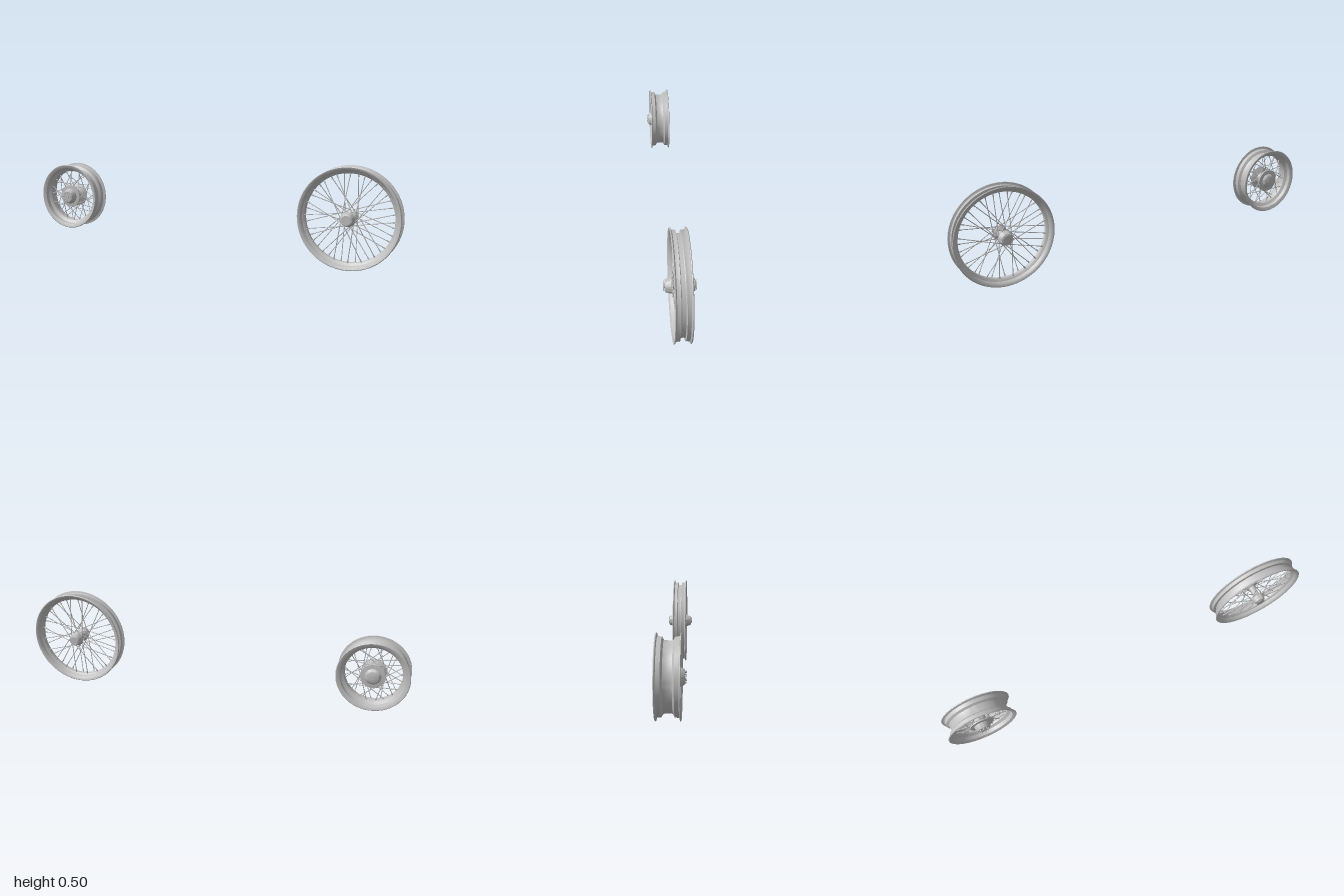
import * as THREE from 'three';
import { toCreasedNormals } from 'three/addons/utils/BufferGeometryUtils.js';

const steel = new THREE.MeshStandardMaterial({ color: 0xbfbfbf });
steel.name = 'steel';

// Revolve a profile of [radius, z] points around the z axis
function turned(name, profile, segments) {
  const points = profile.map(([r, z]) => new THREE.Vector2(r, z));
  const geometry = new THREE.LatheGeometry(points, segments).rotateX(Math.PI / 2);
  const mesh = new THREE.Mesh(toCreasedNormals(geometry, 0.6), steel);
  mesh.name = name;
  return mesh;
}

const flip = (half) => half.map(([r, z]) => [r, -z]);

// Closed rim section; both half profiles run from the middle out to the lip
function rimProfile(outer, inner) {
  return [
    ...flip(outer).reverse(), ...outer,
    ...inner.slice().reverse(), ...flip(inner), flip(outer)[outer.length - 1],
  ];
}

// Straight round rod between two points
function rod(name, a, b, radius) {
  const along = b.clone().sub(a);
  const mesh = new THREE.Mesh(new THREE.CylinderGeometry(radius, radius, along.length(), 6), steel);
  mesh.position.copy(a).addScaledVector(along, 0.5);
  mesh.quaternion.setFromUnitVectors(new THREE.Vector3(0, 1, 0), along.normalize());
  mesh.name = name;
  return mesh;
}

const polar = (r, angle, z) => new THREE.Vector3(r * Math.cos(angle), r * Math.sin(angle), z);

// Crossed spokes on both hub flanges, each with a nipple at the rim
function spokes({ count, hubR, hubZ, rimR, rimZ, sweep, thickness }) {
  const group = new THREE.Group();
  group.name = 'spokes';
  for (let i = 0; i < count; i++) {
    const side = i % 2 ? -1 : 1;
    const lean = i % 4 < 2 ? -1 : 1;
    const angle = (i / count) * Math.PI * 2;
    const foot = polar(hubR, angle + lean * sweep, side * hubZ);
    const tip = polar(rimR, angle, side * rimZ);
    group.add(rod('spoke', foot, tip, thickness));
    group.add(rod('nipple', tip.clone().lerp(foot, 0.08), tip, thickness * 1.6));
  }
  return group;
}

function endDisc(radius, z) {
  const mesh = new THREE.Mesh(new THREE.CylinderGeometry(radius, radius, 0.002, 32), steel);
  mesh.rotation.x = Math.PI / 2;
  mesh.position.z = z;
  mesh.name = 'hubEndDisc';
  return mesh;
}

function largeWheel() {
  const wheel = new THREE.Group();
  wheel.name = 'largeWheel';
  const outer = [[0.221, 0.007], [0.223, 0.0105], [0.237, 0.0125], [0.236, 0.016],
    [0.237, 0.029], [0.241, 0.0315], [0.247, 0.033], [0.248, 0.036], [0.245, 0.0385]];
  const inner = [[0.214, 0.006], [0.217, 0.011], [0.227, 0.017], [0.231, 0.03], [0.24, 0.0375]];
  wheel.add(turned('rim', rimProfile(outer, inner), 96));
  // Barrel, conical flanges and end faces
  const half = [[0.017, 0.012], [0.019, 0.024], [0.034, 0.033], [0.036, 0.037],
    [0.028, 0.063], [0.025, 0.065], [0, 0.065]];
  wheel.add(turned('hub', [...flip(half).reverse(), ...half], 40));
  for (const s of [-1, 1]) {
    wheel.add(endDisc(0.023, s * 0.07));
    wheel.add(rod('axle', polar(0, 0, s * 0.06), polar(0, 0, s * 0.071), 0.011));
  }
  wheel.add(spokes({ count: 40, hubR: 0.032, hubZ: 0.035, rimR: 0.217, rimZ: 0.008,
    sweep: 1.15, thickness: 0.0021 }));
  wheel.position.set(0.752, 0.249, -0.0015);
  return wheel;
}

function smallWheel() {
  const wheel = new THREE.Group();
  wheel.name = 'smallWheel';
  const outer = [[0.147, 0.014], [0.149, 0.019], [0.162, 0.027], [0.164, 0.045],
    [0.168, 0.047], [0.177, 0.048], [0.178, 0.051], [0.175, 0.0535]];
  const inner = [[0.139, 0.012], [0.141, 0.018], [0.155, 0.028], [0.158, 0.046], [0.17, 0.0525]];
  wheel.add(turned('rim', rimProfile(outer, inner), 96));
  // Wide flanges, longer nose on the front side
  wheel.add(turned('hub', [[0, -0.051], [0.028, -0.051], [0.032, -0.049], [0.04, -0.039],
    [0.061, -0.037], [0.062, -0.032], [0.058, -0.03], [0.032, -0.018], [0.03, 0],
    [0.032, 0.018], [0.058, 0.03], [0.062, 0.032], [0.061, 0.037], [0.042, 0.039],
    [0.034, 0.062], [0.03, 0.066], [0, 0.066]], 40));
  // Ring of bolts around the axle
  for (let i = 0; i < 8; i++) {
    const a = (i / 8) * Math.PI * 2;
    wheel.add(rod('hubBolt', polar(0.023, a, 0.06), polar(0.023, a, 0.073), 0.004));
  }
  wheel.add(rod('axle', polar(0, 0, -0.054), polar(0, 0, 0.07), 0.012));
  wheel.add(spokes({ count: 40, hubR: 0.057, hubZ: 0.034, rimR: 0.142, rimZ: 0.01,
    sweep: 0.95, thickness: 0.0021 }));
  wheel.position.set(-0.823, 0.247, -0.0015);
  return wheel;
}

export function createModel() {
  const model = new THREE.Group();
  model.name = 'wheelPair';
  model.add(largeWheel(), smallWheel());
  return model;
}
